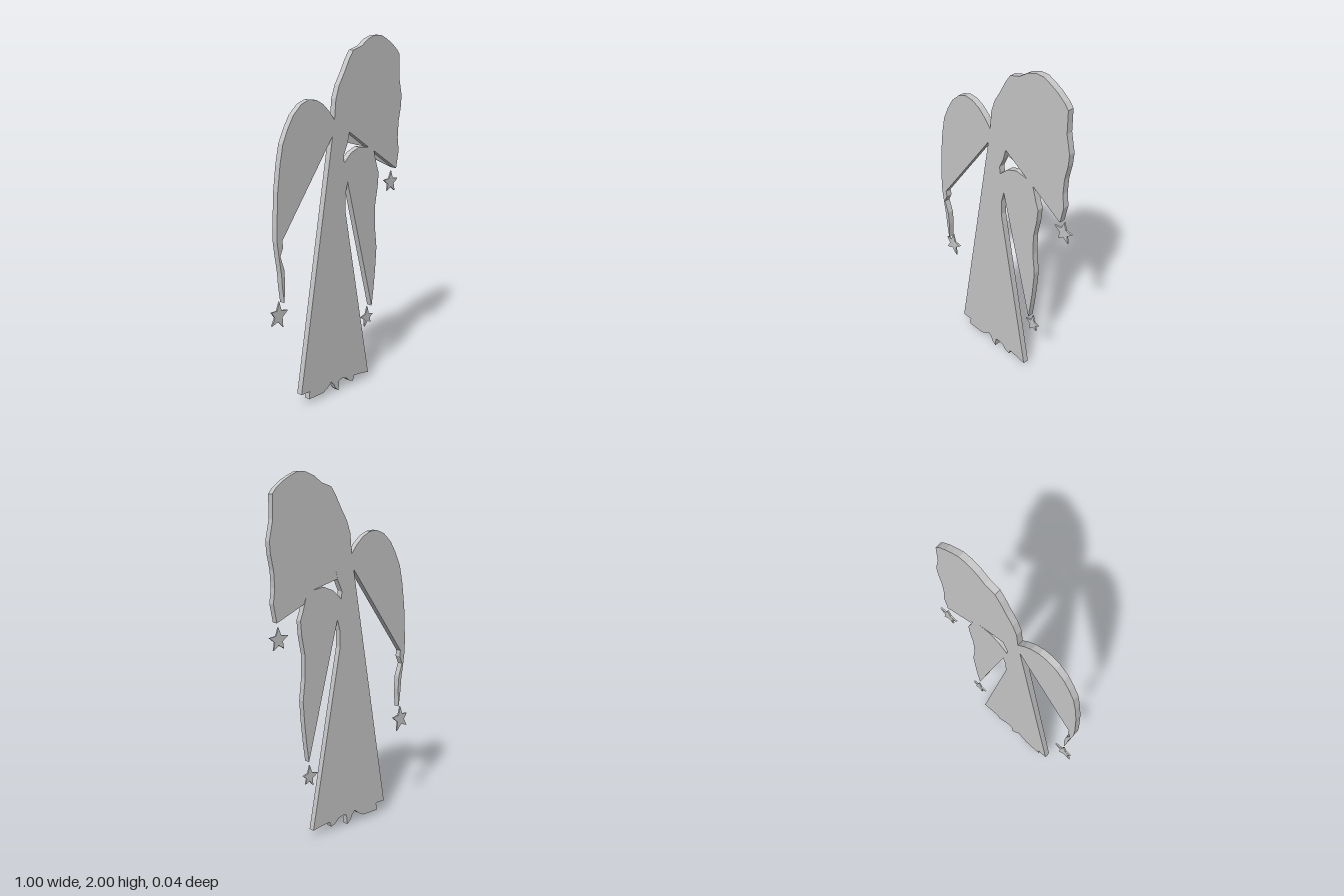
import * as THREE from 'three';

const FRONT = 0.022, BACK = -0.013, STAR_BACK = -0.022;

// Cut a flat plate from an outline, between two depths
function plate(name, points, z0, z1, material) {
  const shape = new THREE.Shape(points.map(([x, y]) => new THREE.Vector2(x, y)));
  const geo = new THREE.ExtrudeGeometry(shape, { depth: z1 - z0, bevelEnabled: false });
  geo.translate(0, 0, z0);
  const mesh = new THREE.Mesh(geo, material);
  mesh.name = name;
  return mesh;
}

// Five-pointed star from its tips, with inner corners pulled towards the centre
function starOutline(tips) {
  const cx = tips.reduce((s, p) => s + p[0], 0) / 5;
  const cy = tips.reduce((s, p) => s + p[1], 0) / 5;
  const k = 0.55;
  return tips.flatMap((p, i) => {
    const q = tips[(i + 1) % 5];
    return [p, [cx + ((p[0] + q[0]) / 2 - cx) * k, cy + ((p[1] + q[1]) / 2 - cy) * k]];
  });
}

export function createModel() {
  const group = new THREE.Group();
  group.name = 'angelOrnament';
  const grey = new THREE.MeshStandardMaterial({ color: 0xc7c7c7 });
  grey.name = 'lightGrey';

  // Long gown with a ragged hem
  const gown = [
    [-0.08, 1.48], [-0.065, 1.565], [0.05, 1.49], [0.035, 1.43], [0.005, 1.365], [0.01, 1.325],
    [0.037, 1.215], [0.02, 1.15], [0.018, 1.06], [0.216, 0.033],
    [0.15, 0.045], [0.095, 0.05], [0.085, 0.02], [0.055, 0.03], [0.03, 0.055], [0, 0.065], [-0.03, 0.06],
    [-0.037, 0], [-0.06, 0.02], [-0.075, 0.05], [-0.095, 0.07], [-0.125, 0.045],
    [-0.16, 0.025], [-0.27, 0.025], [-0.265, 0.07], [-0.328, 0.07],
  ];

  // Wing on the model's right, ending in a wavy ribbon
  const rightWing = [
    [-0.08, 1.48], [-0.45, 0.975], [-0.445, 0.94], [-0.465, 0.895], [-0.44, 0.82], [-0.435, 0.74],
    [-0.442, 0.635], [-0.455, 0.73], [-0.46, 0.8], [-0.475, 0.895], [-0.485, 0.97], [-0.485, 1.05],
    [-0.475, 1.235], [-0.457, 1.37], [-0.435, 1.475], [-0.4, 1.55], [-0.36, 1.615], [-0.305, 1.665],
    [-0.25, 1.685], [-0.2, 1.68], [-0.15, 1.655], [-0.105, 1.615], [-0.065, 1.565],
  ];

  // Large raised wing
  const upperWing = [
    [-0.065, 1.565], [-0.055, 1.675], [-0.03, 1.745], [0.01, 1.81], [0.048, 1.88], [0.08, 1.925],
    [0.145, 1.945], [0.195, 1.98], [0.25, 2], [0.3, 2], [0.345, 1.98], [0.39, 1.955], [0.435, 1.92],
    [0.46, 1.89], [0.46, 1.765], [0.483, 1.66], [0.478, 1.595], [0.46, 1.51], [0.455, 1.42],
    [0.465, 1.34], [0.445, 1.24], [0.25, 1.365], [0.205, 1.39], [0.05, 1.49],
  ];

  // Long lower wing
  const lowerWing = [
    [0.01, 1.325], [0.037, 1.215], [0.243, 0.445], [0.258, 0.55], [0.27, 0.66], [0.28, 0.795],
    [0.265, 0.92], [0.265, 1.05], [0.285, 1.155], [0.292, 1.235], [0.275, 1.28], [0.25, 1.365],
    [0.205, 1.39], [0.13, 1.4], [0.065, 1.375],
  ];

  const body = { gown, rightWing, upperWing, lowerWing };
  for (const [name, points] of Object.entries(body)) group.add(plate(name, points, BACK, FRONT, grey));

  // Thin slivers along the back of the raised wing's lower edge
  const slivers = {
    innerWingEdge: [[0.05, 1.49], [0.037, 1.435], [0.205, 1.39]],
    outerWingEdge: [[0.25, 1.365], [0.268, 1.32], [0.445, 1.24]],
  };
  for (const [name, points] of Object.entries(slivers)) {
    group.add(plate(name, points, BACK, BACK + 0.004, grey));
  }

  // Stars set behind the wing tips
  const stars = {
    upperWingStar: [[0.443, 1.22], [0.5, 1.17], [0.475, 1.1], [0.408, 1.105], [0.38, 1.172]],
    lowerWingStar: [[0.245, 0.43], [0.292, 0.375], [0.275, 0.325], [0.222, 0.31], [0.19, 0.375]],
    rightWingStar: [[-0.447, 0.635], [-0.387, 0.575], [-0.422, 0.487], [-0.502, 0.51], [-0.503, 0.587]],
  };
  for (const [name, tips] of Object.entries(stars)) {
    group.add(plate(name, starOutline(tips), STAR_BACK, BACK, grey));
  }
  return group;
}
